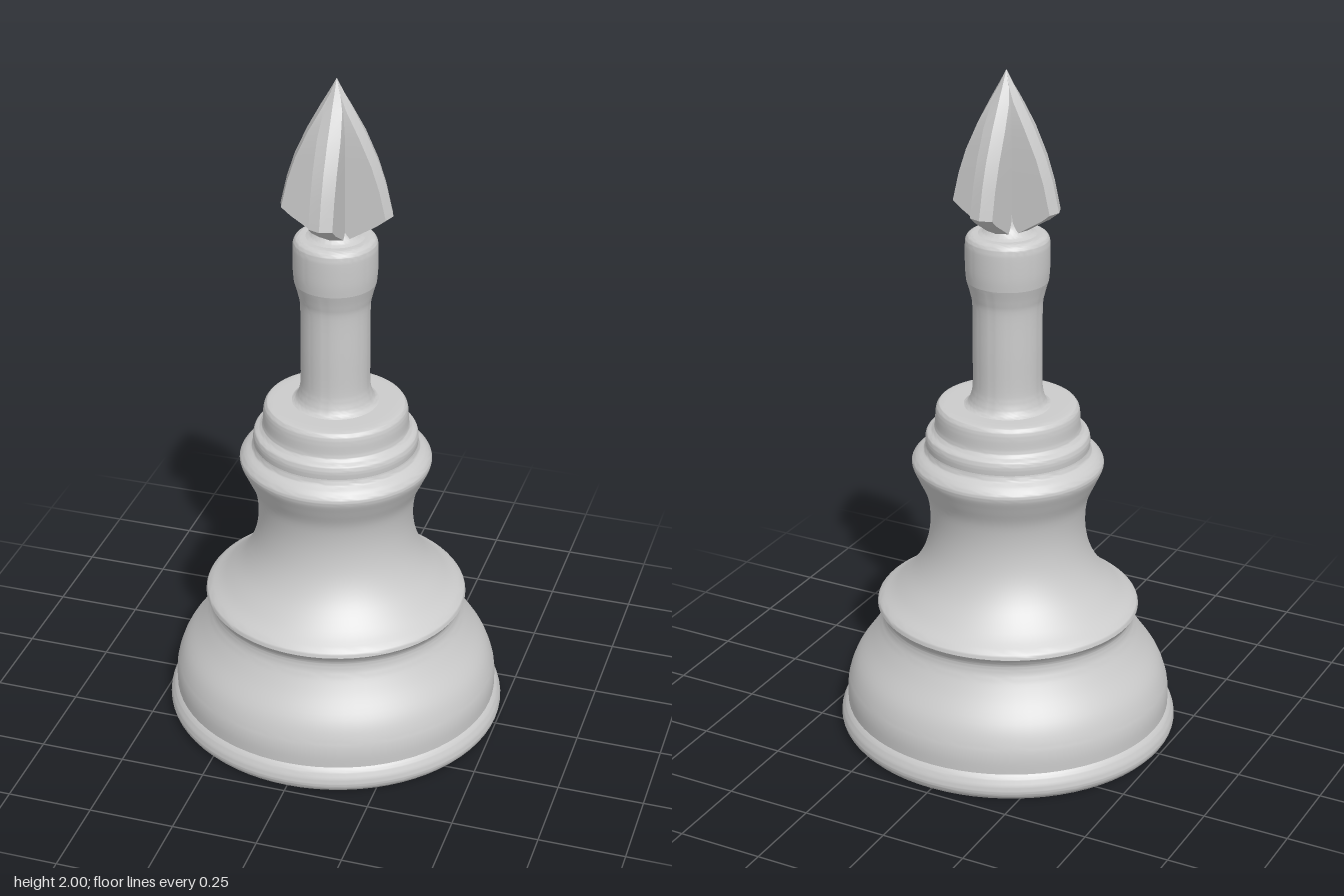
import * as THREE from 'three';
import { toCreasedNormals } from 'three/addons/utils/BufferGeometryUtils.js';

const material = new THREE.MeshStandardMaterial({ color: 0xcccccc });

// Turned section: [radius, height] points, optionally smoothed by a spline
function turned(name, pairs, smooth = true) {
  let points = pairs.map(([r, y]) => new THREE.Vector2(r, y));
  if (smooth) points = new THREE.SplineCurve(points).getPoints(pairs.length * 4);
  points.forEach((p) => { p.x = Math.max(p.x, 0); });
  const geometry = toCreasedNormals(new THREE.LatheGeometry(points, 72), 0.7);
  const mesh = new THREE.Mesh(geometry, material);
  mesh.name = name;
  return mesh;
}

// Blade pair: hexagonal loops [height, half span, half thickness] rising to a point
function bladePair(name) {
  const levels = [
    [1.53, 0.05, 0.034], [1.545, 0.055, 0.034], [1.595, 0.135, 0.034], [1.617, 0.162, 0.034],
    [1.7, 0.143, 0.034], [1.77, 0.12, 0.034], [1.85, 0.084, 0.033],
    [1.92, 0.046, 0.026], [1.965, 0.02, 0.013], [2.0, 0.001, 0.001],
  ];
  const positions = [];
  const index = [];
  for (const [y, r, w] of levels) {
    const s = Math.max(r - 0.012, r * 0.6);
    for (const [x, z] of [[r, 0], [s, w], [-s, w], [-r, 0], [-s, -w], [s, -w]]) positions.push(x, y, z);
  }
  for (let i = 0; i < levels.length - 1; i++) {
    for (let j = 0; j < 6; j++) {
      const a = i * 6 + j, b = i * 6 + (j + 1) % 6;
      index.push(a, a + 6, b, b, a + 6, b + 6);
    }
  }
  const top = (levels.length - 1) * 6;
  for (let j = 1; j < 5; j++) {
    index.push(0, j, j + 1);
    index.push(top, top + j + 1, top + j);
  }
  const geometry = new THREE.BufferGeometry();
  geometry.setAttribute('position', new THREE.Float32BufferAttribute(positions, 3));
  geometry.setIndex(index);
  const mesh = new THREE.Mesh(toCreasedNormals(geometry, 0.3), material);
  mesh.name = name;
  return mesh;
}

export function createModel() {
  const model = new THREE.Group();
  model.name = 'turnedPiece';

  // Bell-shaped pedestal, slightly narrower front to back
  const pedestal = new THREE.Group();
  pedestal.name = 'pedestal';
  pedestal.scale.z = 0.975;
  pedestal.add(
    turned('cavity', [[0, 0.78], [0.15, 0.77], [0.18, 0.66], [0.22, 0.52], [0.31, 0.37], [0.34, 0.25], [0.342, 0]], false),
    turned('bottomRim', [[0.342, 0], [0.485, 0]], false),
    turned('foot', [[0.485, 0], [0.497, 0.015], [0.499, 0.035], [0.49, 0.06], [0.479, 0.075]]),
    turned('base', [[0.479, 0.075], [0.479, 0.12], [0.471, 0.16], [0.45, 0.21], [0.405, 0.275],
      [0.376, 0.325], [0.368, 0.355], [0.372, 0.372], [0.385, 0.39]]),
    turned('waist', [[0.385, 0.39], [0.378, 0.405], [0.33, 0.44], [0.275, 0.5], [0.24, 0.57], [0.226, 0.65],
      [0.233, 0.73], [0.258, 0.79], [0.276, 0.83], [0.276, 0.85], [0.26, 0.868], [0.242, 0.88], [0.237, 0.895]]),
    turned('upperSteps', [[0.237, 0.895], [0.238, 0.915], [0.233, 0.932], [0.217, 0.942], [0.21, 0.955],
      [0.208, 0.995], [0.202, 1.015], [0.185, 1.022], [0.1, 1.022]]),
  );
  model.add(pedestal);

  // Neck, collar and blades share an axis set slightly back
  const stem = new THREE.Group();
  stem.name = 'stem';
  stem.position.set(-0.004, 0, -0.009);
  stem.add(
    turned('neck', [[0.135, 1.018], [0.116, 1.028], [0.105, 1.05], [0.099, 1.09], [0.099, 1.2], [0.099, 1.32],
      [0.105, 1.36], [0.116, 1.4]]),
    turned('collar', [[0.116, 1.4], [0.119, 1.44], [0.119, 1.505], [0.115, 1.525], [0.103, 1.535], [0.085, 1.536], [0, 1.536]]),
    turned('bladeFillet', [[0.085, 1.535], [0.066, 1.545], [0.05, 1.57], [0.044, 1.61], [0.034, 1.75], [0.012, 1.93]]),
  );
  model.add(stem);

  // Four-bladed point
  const point = new THREE.Group();
  point.name = 'bladedPoint';
  point.position.z = -0.008;
  for (let i = 0; i < 2; i++) {
    const pair = bladePair(i ? 'frontBackBlades' : 'sideBlades');
    pair.rotation.y = i * Math.PI / 2;
    point.add(pair);
  }
  model.add(point);

  return model;
}
